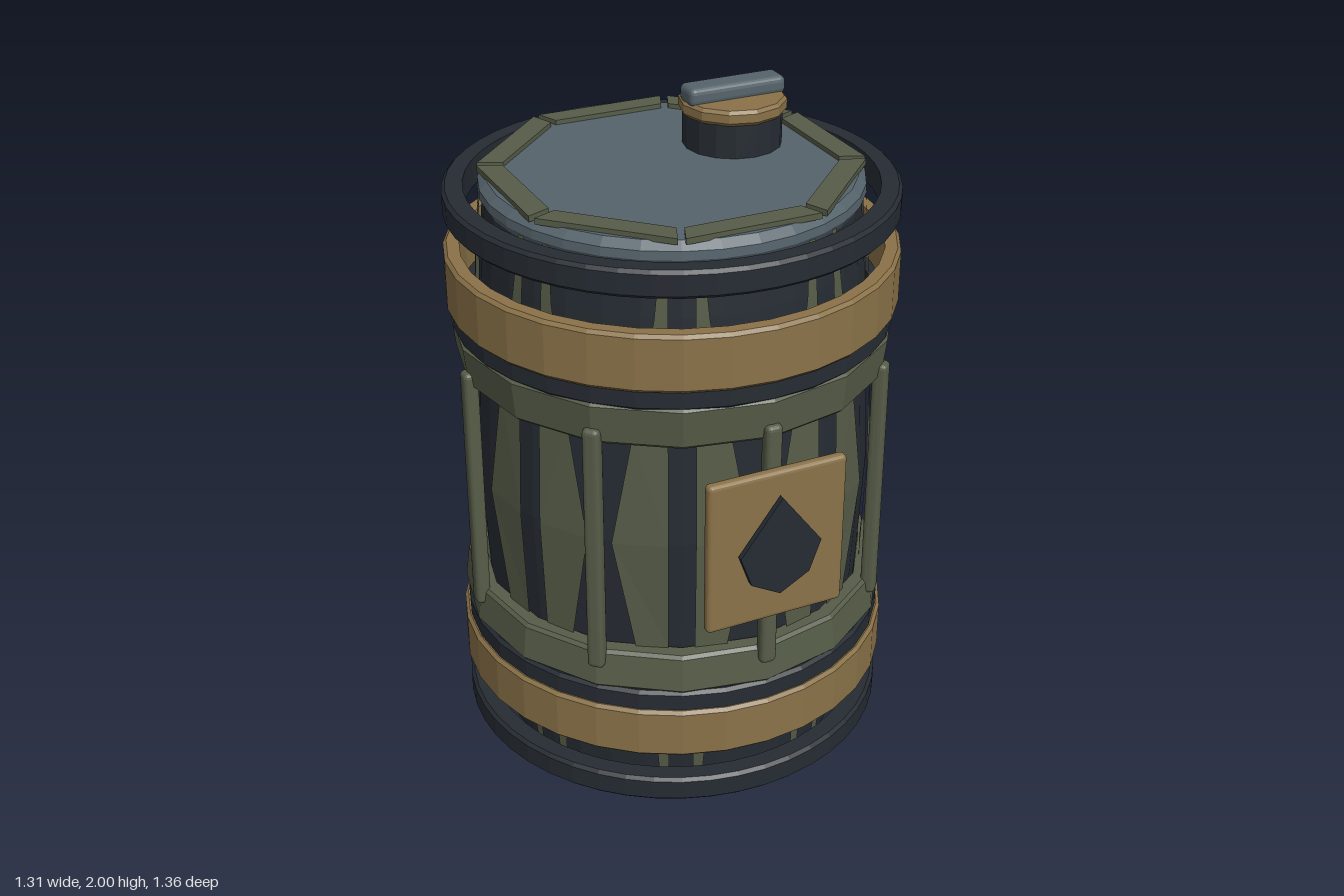
import * as THREE from 'three';
import { RoundedBoxGeometry } from 'three/addons/geometries/RoundedBoxGeometry.js';

const mat = (color) => new THREE.MeshStandardMaterial({ color, flatShading: true, side: THREE.DoubleSide });

export function createModel() {
  const dark = mat(0x262c33), gold = mat(0x8a7248), olive = mat(0x565c48), slate = mat(0x55636b);
  const root = new THREE.Group();
  const barrel = new THREE.Group();
  barrel.name = 'barrel';
  barrel.position.z = -0.02;
  root.add(barrel);

  const add = (parent, name, geo, material, x = 0, y = 0, z = 0) => {
    const m = new THREE.Mesh(geo, material);
    m.name = name;
    m.position.set(x, y, z);
    parent.add(m);
    return m;
  };
  const lathe = (pts, seg) => new THREE.LatheGeometry(pts.map((p) => new THREE.Vector2(p[0], p[1])), seg);

  // Hoop with a bevelled rectangular section; outer radius may differ at its two edges
  const hoop = (name, material, y0, y1, rIn, r0, r1, seg, b = 0.01) => add(barrel, name, lathe([
    [rIn, y0], [r0 - b, y0], [r0, y0 + b], [r1, y1 - b], [r1 - b, y1], [rIn, y1], [rIn, y0]], seg), material);

  // Bulging core: height, radius, and inner edge angle of the stave panels
  const rows = [
    [0.01, 0.51, 16.5], [0.05, 0.535, 16], [0.23, 0.55, 15], [0.57, 0.573, 9.5], [0.92, 0.588, 3.5],
    [1.27, 0.573, 9.5], [1.6, 0.55, 15], [1.76, 0.535, 16.5]];
  add(barrel, 'core', lathe([[0, 0], [0.49, 0], ...rows.map(([y, r]) => [r, y]), [0, 1.76]], 32), dark);

  // Pointed stave panels in mirrored pairs around each rod
  const panel = (mid, side) => {
    const pos = [], idx = [];
    rows.forEach(([y, r, inner], i) => {
      [inner, 18.8].forEach((a) => {
        const t = THREE.MathUtils.degToRad(mid + side * a);
        pos.push((r + 0.012) * Math.sin(t), y, (r + 0.012) * Math.cos(t));
      });
      if (i) {
        const k = 2 * i;
        if (side > 0) idx.push(k - 2, k - 1, k, k - 1, k + 1, k);
        else idx.push(k - 2, k, k - 1, k - 1, k, k + 1);
      }
    });
    const g = new THREE.BufferGeometry();
    g.setAttribute('position', new THREE.Float32BufferAttribute(pos, 3));
    g.setIndex(idx);
    g.computeVertexNormals();
    return g;
  };

  // Lid strip: flat trapezoid forming one side of an octagonal frame
  const strip = new THREE.ExtrudeGeometry(new THREE.Shape([
    new THREE.Vector2(-0.2, -0.51), new THREE.Vector2(0.2, -0.51),
    new THREE.Vector2(0.172, -0.442), new THREE.Vector2(-0.172, -0.442)]),
  { depth: 0.018, bevelEnabled: false }).rotateX(-Math.PI / 2);

  const rodGeo = new RoundedBoxGeometry(0.05, 0.78, 0.045, 2, 0.015);
  for (let i = 0; i < 8; i++) {
    const deg = i * 45, a = THREE.MathUtils.degToRad(deg);
    [-1, 1].forEach((s) => add(barrel, 'stavePanel', panel(deg, s), olive));
    add(barrel, 'rod', rodGeo, olive, 0.634 * Math.sin(a), 0.91, 0.634 * Math.cos(a)).rotation.y = a;
    add(barrel, 'lidStrip', strip, olive, 0, 1.808, 0).rotation.y = a;
  }

  // Lid
  add(barrel, 'lid', lathe([[0, 1.74], [0.535, 1.74], [0.55, 1.765], [0.548, 1.79], [0.525, 1.812], [0, 1.812]], 32), slate);

  // Hoops, lower set and upper set
  hoop('rimHoop', dark, 0.06, 0.14, 0.59, 0.65, 0.65, 48);
  hoop('rimHoop', dark, 1.70, 1.78, 0.59, 0.65, 0.65, 48);
  hoop('goldHoop', gold, 0.23, 0.39, 0.61, 0.656, 0.656, 32);
  hoop('goldHoop', gold, 1.43, 1.60, 0.61, 0.656, 0.656, 32);
  hoop('darkBand', dark, 0.37, 0.45, 0.58, 0.642, 0.642, 32);
  hoop('darkBand', dark, 1.37, 1.45, 0.58, 0.642, 0.642, 32);
  hoop('oliveBand', olive, 0.45, 0.57, 0.585, 0.648, 0.635, 16);
  hoop('oliveBand', olive, 1.25, 1.38, 0.585, 0.635, 0.648, 16);

  // Filler cap
  const cap = new THREE.Group();
  cap.name = 'fillerCap';
  cap.position.set(0.24, 0, -0.12);
  root.add(cap);
  add(cap, 'neck', new THREE.CylinderGeometry(0.145, 0.145, 0.12, 16), dark, 0, 1.86, 0);
  add(cap, 'capDisc', lathe([[0, 1.91], [0.148, 1.91], [0.157, 1.92], [0.157, 1.945], [0.148, 1.955], [0, 1.955]], 12), gold);
  add(cap, 'capHandle', new RoundedBoxGeometry(0.305, 0.055, 0.085, 2, 0.018), slate, 0, 1.9725, 0);

  // Front plaque with a faceted drop
  add(root, 'plaque', new RoundedBoxGeometry(0.425, 0.475, 0.035, 2, 0.014), gold, 0, 0.9375, 0.645);
  const half = [[0, 1.105], [0.125, 0.94], [0.09, 0.845], [0, 0.795]];
  const outline = [...half, [-0.09, 0.845], [-0.125, 0.94]].map((p) => new THREE.Vector2(p[0], p[1]));
  add(root, 'drop', new THREE.ExtrudeGeometry(new THREE.Shape(outline), { depth: 0.016, bevelEnabled: false }), dark, 0, 0, 0.67);

  return root;
}
